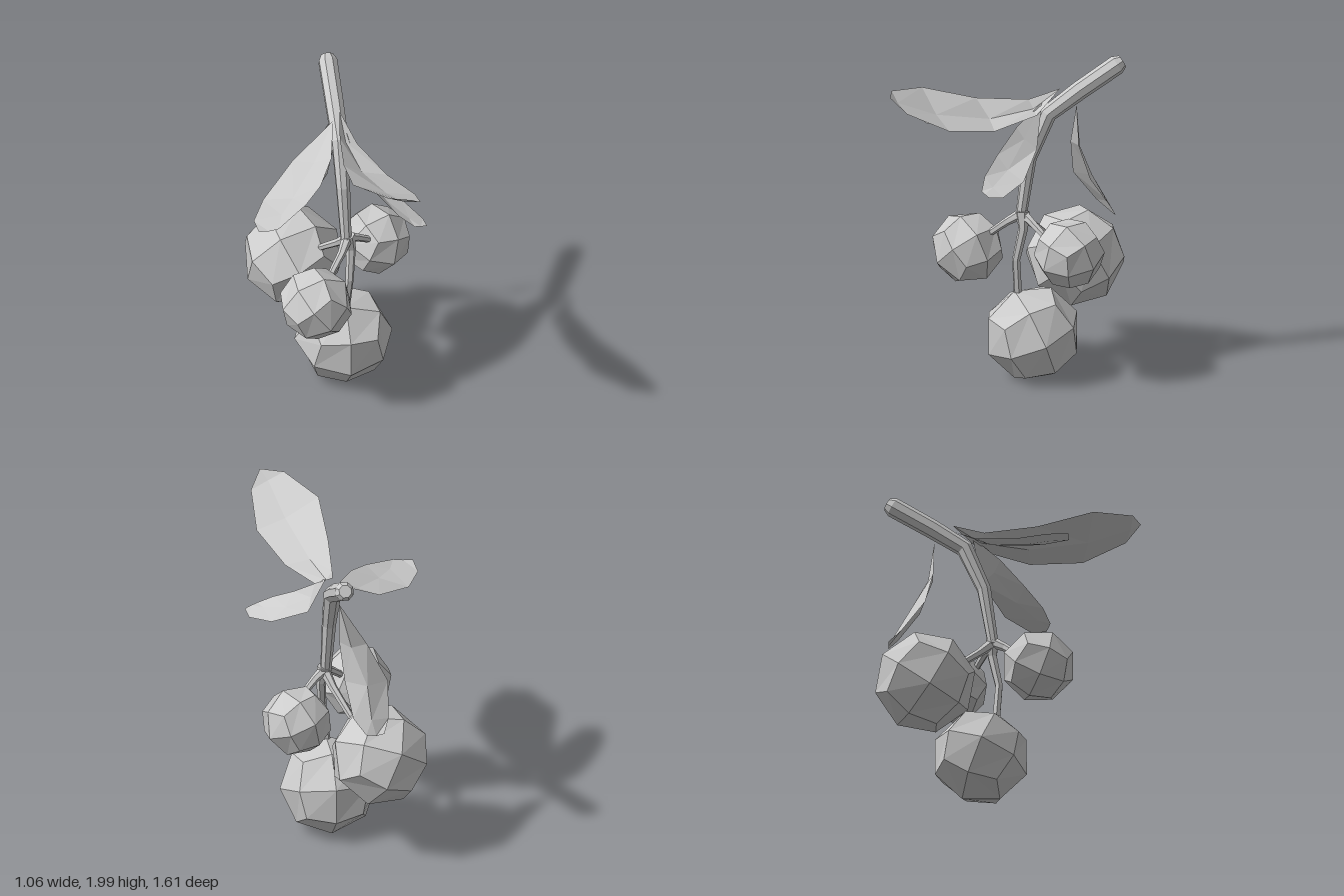
import * as THREE from 'three';

const material = new THREE.MeshStandardMaterial({ color: 0xcccccc, flatShading: true });
const leafMaterial = new THREE.MeshStandardMaterial({ color: 0xcccccc, flatShading: true, side: THREE.DoubleSide });
const V = (p) => new THREE.Vector3(p[0], p[1], p[2]);

// Skin a list of equally long rows of points with flat faces
function loft(rows) {
  const pos = [];
  const tri = (a, b, c) => {
    const area = b.clone().sub(a).cross(c.clone().sub(a)).length();
    if (area > 1e-7) for (const p of [a, b, c]) pos.push(p.x, p.y, p.z);
  };
  for (let i = 0; i + 1 < rows.length; i++) {
    for (let j = 0; j + 1 < rows[i].length; j++) {
      const a = rows[i][j], b = rows[i][j + 1], c = rows[i + 1][j], d = rows[i + 1][j + 1];
      tri(a, b, d);
      tri(a, d, c);
    }
  }
  const geo = new THREE.BufferGeometry();
  geo.setAttribute('position', new THREE.Float32BufferAttribute(pos, 3));
  geo.computeVertexNormals();
  return geo;
}

// Tapered closed tube; each point is [x, y, z, radius]
function tube(points, sides) {
  const path = [points[0], ...points, points[points.length - 1]];
  const whole = V(points[points.length - 1]).sub(V(points[0])).normalize();
  const ref = Math.abs(whole.x) < 0.6 ? new THREE.Vector3(1, 0, 0) : new THREE.Vector3(0, 0, 1);
  const rows = path.map((p, i) => {
    const last = path.length - 1;
    const t = V(path[Math.min(i + 1, last)]).sub(V(path[Math.max(i - 1, 0)]));
    if (t.length() < 1e-6) t.copy(whole);
    t.normalize();
    const u = ref.clone().cross(t).normalize();
    const v = t.clone().cross(u);
    const r = i === 0 || i === last ? 0 : p[3];
    return Array.from({ length: sides + 1 }, (_, j) => {
      const a = ((j % sides) + 0.5) / sides * Math.PI * 2;
      return V(p).addScaledVector(u, r * Math.cos(a)).addScaledVector(v, r * Math.sin(a));
    });
  });
  return loft(rows);
}

// Faceted fruit: a divided cube pushed out to a sphere
function berry(radius) {
  const geo = new THREE.BoxGeometry(2, 2, 2, 2, 2, 2);
  const p = geo.attributes.position;
  const v = new THREE.Vector3();
  for (let i = 0; i < p.count; i++) {
    v.fromBufferAttribute(p, i).setLength(radius);
    p.setXYZ(i, v.x, v.y, v.z);
  }
  geo.computeVertexNormals();
  return geo;
}

// Leaf from base point, rows of [edge, midrib, edge] and a tip row
function leaf(base, rows, tip) {
  const point = [base, base, base];
  return loft([point, ...rows, tip].map((row) => row.map(V)));
}

export function createModel() {
  const group = new THREE.Group();
  const add = (name, geo, mat = material) => {
    const mesh = new THREE.Mesh(geo, mat);
    mesh.name = name;
    group.add(mesh);
    return mesh;
  };

  // Main stem with a slightly bevelled cut end
  add('stem', tube([
    [0.08, 1.965, -0.735, 0.04], [0.08, 1.945, -0.7, 0.06], [0.08, 1.8, -0.46, 0.058],
    [0.08, 1.67, -0.265, 0.054], [0.08, 1.4, -0.15, 0.044], [0.09, 1.04, -0.095, 0.034],
  ], 8));

  // Thin stalks to each fruit
  const stalks = [
    [[0.1, 1.07, -0.1, 0.045], [0.12, 0.97, -0.1, 0.03], [0.105, 0.77, -0.06, 0.025], [0.08, 0.5, -0.08, 0.026]],
    [[0.1, 1.06, -0.1, 0.035], [0.05, 1.0, -0.02, 0.025], [-0.04, 0.9, 0.07, 0.02]],
    [[0.09, 1.06, -0.1, 0.035], [0.16, 1.02, -0.14, 0.025], [0.25, 0.95, -0.2, 0.02]],
    [[0.1, 1.05, -0.1, 0.035], [0.06, 0.97, -0.18, 0.025], [-0.03, 0.83, -0.33, 0.02]],
  ];
  stalks.forEach((s) => add('stalk', tube(s, 6)));

  // Fruits: centre, radius, tilt
  const fruits = [
    ['lowerBerry', [0.085, 0.285, -0.17], 0.3, [0.39, 0, 0]],
    ['backBerry', [-0.17, 0.665, -0.51], 0.31, [0.5, 0.3, 0.35]],
    ['rightBerry', [-0.14, 0.79, 0.175], 0.225, [0.3, 0.25, 0.6]],
    ['leftBerry', [0.31, 0.85, -0.335], 0.215, [0.35, 0.4, -0.4]],
  ];
  for (const [name, centre, radius, tilt] of fruits) {
    const mesh = add(name, berry(radius));
    mesh.position.set(...centre);
    mesh.rotation.set(...tilt);
  }

  // Folded leaves around the stem
  add('frontLeaf', leaf([0.09, 1.83, -0.34], [
    [[0.06, 1.77, -0.15], [0.1, 1.72, -0.17], [0.17, 1.7, -0.17]],
    [[0.03, 1.8, 0.17], [0.15, 1.7, 0.12], [0.3, 1.67, 0.13]],
    [[0.03, 1.9, 0.51], [0.24, 1.79, 0.48], [0.42, 1.74, 0.45]],
    [[0.2, 1.955, 0.75], [0.3, 1.91, 0.74], [0.41, 1.87, 0.71]],
  ], [[0.34, 1.96, 0.8], [0.34, 1.96, 0.8], [0.34, 1.96, 0.8]]), leafMaterial);

  add('rightLeaf', leaf([0.05, 1.77, -0.33], [
    [[-0.22, 1.6, -0.2], [-0.1, 1.62, -0.13], [0, 1.66, -0.1]],
    [[-0.44, 1.5, 0.03], [-0.27, 1.54, 0.1], [-0.1, 1.61, 0.1]],
    [[-0.53, 1.49, 0.22], [-0.36, 1.52, 0.23], [-0.21, 1.57, 0.22]],
  ], [[-0.52, 1.5, 0.35], [-0.46, 1.5, 0.355], [-0.4, 1.51, 0.355]]), leafMaterial);

  add('leftLeaf', leaf([0.11, 1.76, -0.22], [
    [[0.21, 1.5, -0.16], [0.18, 1.56, -0.09], [0.15, 1.63, -0.05]],
    [[0.41, 1.37, -0.02], [0.31, 1.42, 0.05], [0.25, 1.5, 0.1]],
    [[0.52, 1.32, 0.14], [0.43, 1.36, 0.18], [0.36, 1.41, 0.21]],
  ], [[0.53, 1.33, 0.23], [0.49, 1.34, 0.245], [0.45, 1.35, 0.255]]), leafMaterial);

  add('backLeaf', leaf([0.07, 1.71, -0.45], [
    [[-0.1, 1.42, -0.46], [0, 1.42, -0.49], [0.07, 1.45, -0.46]],
    [[-0.22, 1.18, -0.51], [-0.08, 1.2, -0.59], [0.05, 1.22, -0.54]],
    [[-0.2, 1.0, -0.65], [-0.09, 1.02, -0.69], [0.02, 1.03, -0.67]],
  ], [[-0.16, 0.94, -0.73], [-0.11, 0.93, -0.73], [-0.05, 0.94, -0.73]]), leafMaterial);

  return group;
}
